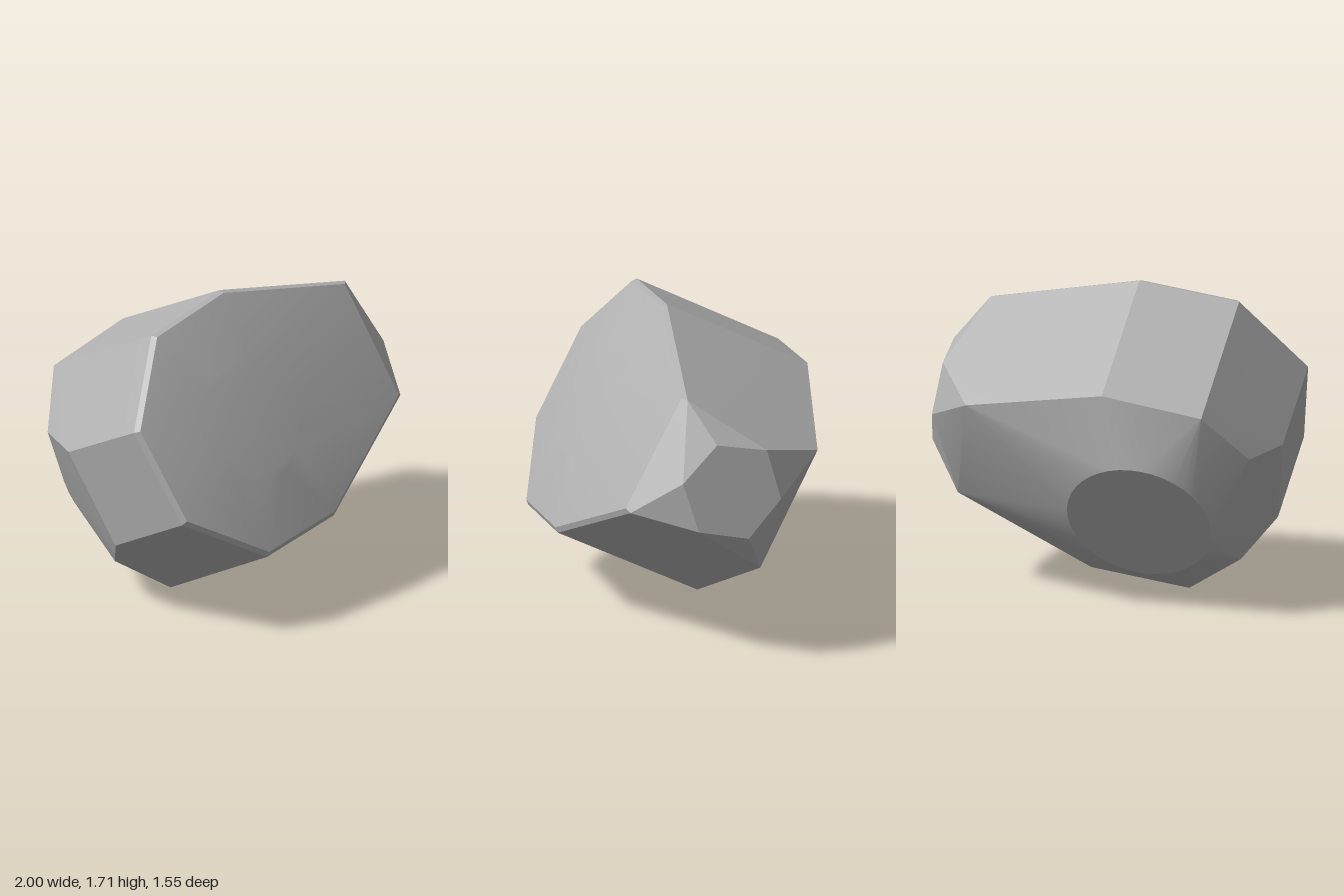
import * as THREE from 'three';
import { ConvexGeometry } from 'three/addons/geometries/ConvexGeometry.js';
import { toCreasedNormals } from 'three/addons/utils/BufferGeometryUtils.js';

const V = (x, y, z) => new THREE.Vector3(x, y, z);

// The stone leans back: its depth axis and the matching upward axis
const AXIS = V(0, -0.488, -0.873);
const UP = V(0, 0.873, -0.488);

// Ring of points facing along the depth axis
function ring(center, radius, count) {
  return Array.from({ length: count }, (_, i) => {
    const a = (i / count) * Math.PI * 2;
    return center.clone()
      .addScaledVector(V(1, 0, 0), radius * Math.cos(a))
      .addScaledVector(UP, radius * Math.sin(a));
  });
}

export function createModel() {
  const group = new THREE.Group();
  group.name = 'facetedStone';
  const stone = new THREE.MeshStandardMaterial({ color: 0xb2b2b2 });
  stone.name = 'stone grey';

  // Broad front face outline
  const front = [
    [-0.67, 1.63, 0.12], [-0.12, 1.72, 0.07], [0.74, 1.54, 0.14], [0.84, 0.94, 0.48],
    [0.12, 0.52, 0.73], [-0.42, 0.45, 0.78], [-0.9, 0.73, 0.62], [-1, 1.22, 0.34],
  ].map((p) => V(...p));

  // Narrow bevel around the front face
  const middle = V(-0.17, 1.09, 0.42);
  const points = front.flatMap((p) => [
    p.clone().addScaledVector(AXIS, 0.025),
    p.clone().lerp(middle, 0.03),
  ]);

  // Rear corners of the side walls
  const rear = [
    [-0.67, 1.18, -0.69], [-0.12, 1.28, -0.735], [0.68, 1.13, -0.62],
    [0.82, 0.52, -0.27], [0.12, 0.09, -0.07], [-0.42, 0, -0.02],
  ];

  // Slanted cut on the right side
  const rightCut = [
    [-1, 0.92, -0.21], [-0.9, 0.42, 0.06], [-0.74, 0.22, -0.12], [-0.89, 0.91, -0.5],
  ];

  // Six-sided facet on the left end
  const leftFacet = [
    [0.91, 1.32, -0.01], [0.899, 1.26, -0.29], [0.942, 0.98, -0.36],
    [0.99, 0.78, -0.17], [1, 0.85, 0.11], [0.959, 1.13, 0.19],
  ];
  points.push(...[...rear, ...rightCut, ...leftFacet].map((p) => V(...p)));

  // Shallow swelling of the front and the round flat on the back
  points.push(...ring(V(-0.28, 1.11, 0.47), 0.33, 16));
  points.push(...ring(V(-0.29, 0.53, -0.58), 0.405, 40));

  const body = new THREE.Mesh(toCreasedNormals(new ConvexGeometry(points), 0.3), stone);
  body.name = 'stoneBody';
  group.add(body);
  return group;
}
